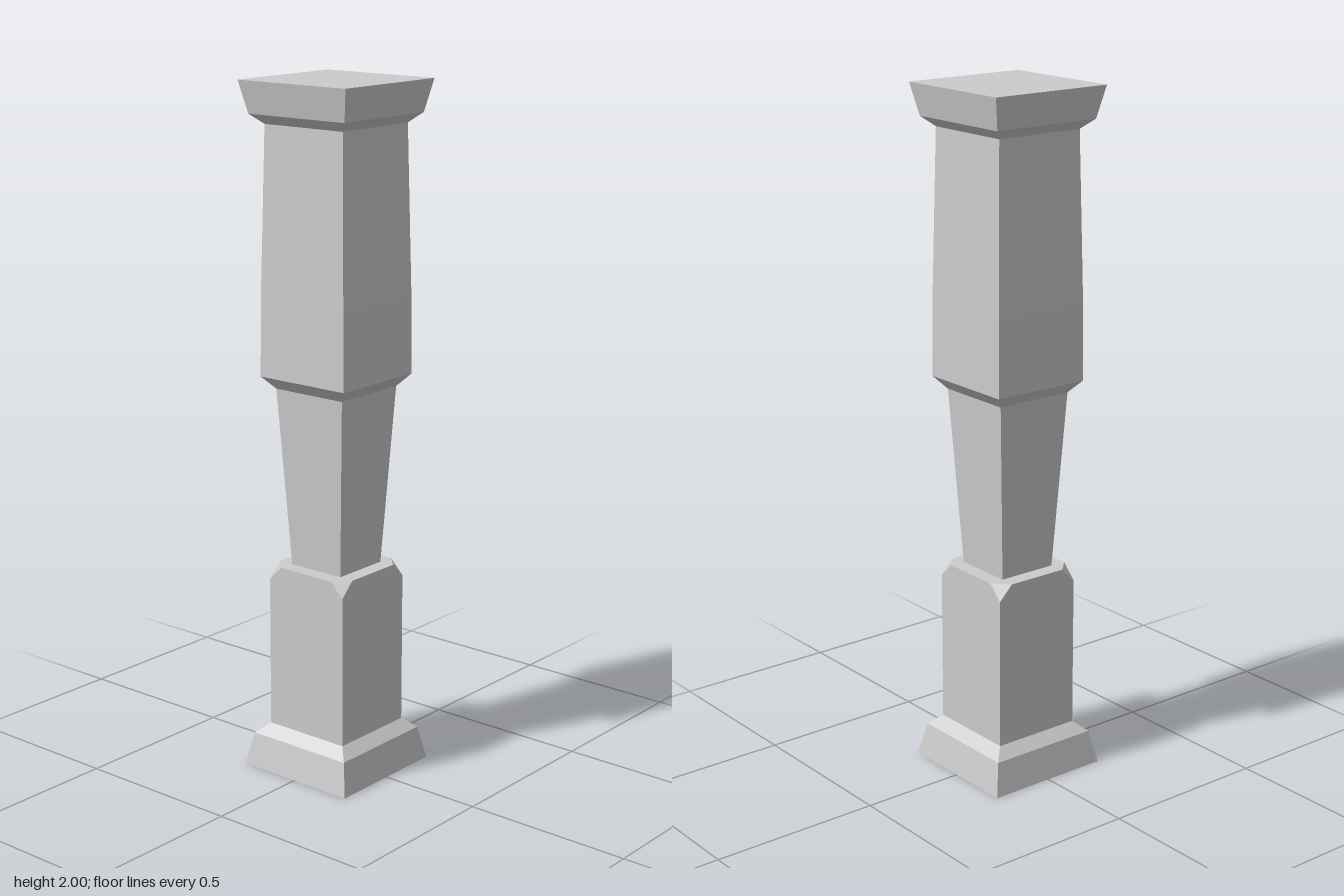
import * as THREE from 'three';
import { ConvexGeometry } from 'three/addons/geometries/ConvexGeometry.js';

const material = new THREE.MeshStandardMaterial({ color: 0xcccccc, flatShading: true });

// Square section swept up a profile of [half width, height] pairs
function squareTurned(name, profile) {
  const points = profile.map(([half, y]) => new THREE.Vector2(half * Math.SQRT2, y));
  const mesh = new THREE.Mesh(new THREE.LatheGeometry(points, 4, Math.PI / 4), material);
  mesh.name = name;
  return mesh;
}

// Square block whose four top corners are clipped diagonally
function clippedBlock(name, half, bottom, top, cut) {
  const points = [];
  for (const sx of [-1, 1]) {
    for (const sz of [-1, 1]) {
      const add = (x, y, z) => points.push(new THREE.Vector3(sx * x, y, sz * z));
      add(half, bottom, half);
      add(half, top - cut, half);
      add(half - cut, top, half);
      add(half, top, half - cut);
    }
  }
  const mesh = new THREE.Mesh(new ConvexGeometry(points), material);
  mesh.name = name;
  return mesh;
}

export function createModel() {
  const group = new THREE.Group();
  group.name = 'squarePillar';
  group.add(
    // Flared foot with a bevelled shoulder
    squareTurned('base', [[0, 0], [0.19, 0], [0.17, 0.097], [0.136, 0.127]]),
    // Pedestal under the shaft
    clippedBlock('pedestal', 0.136, 0.125, 0.615, 0.043),
    // Narrow shaft widening upwards
    squareTurned('lowerShaft', [[0.09, 0.61], [0.12, 1.137]]),
    // Heavy upper shaft with bevelled underside, tapering to the capital
    squareTurned('upperShaft', [[0.12, 1.137], [0.151, 1.173], [0.149, 1.4], [0.139, 1.88]]),
    // Flared capital
    squareTurned('capital', [[0.139, 1.88], [0.17, 1.908], [0.19, 2], [0, 2]])
  );
  return group;
}
